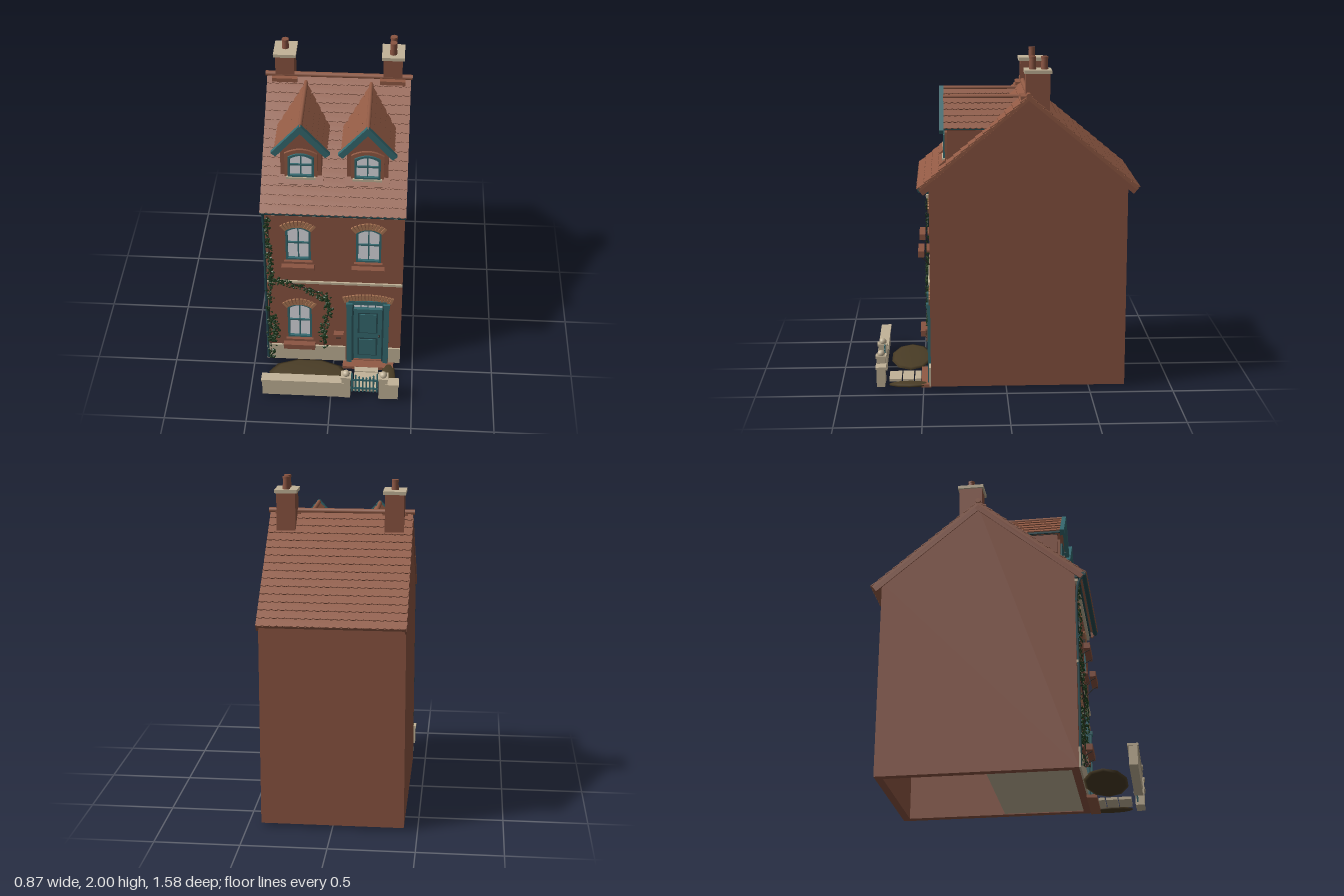
import * as THREE from 'three';
import { mergeGeometries } from 'three/addons/utils/BufferGeometryUtils.js';

const paint = (name, color) => Object.assign(new THREE.MeshStandardMaterial({ color }), { name });
const M = {
  brick: paint('brick red', 0x8a5441), roof: paint('roof tile', 0x915a44), arch: paint('arch brick', 0xa87453),
  stone: paint('cream stone', 0xc2b398), teal: paint('teal paint', 0x356a70), dark: paint('dark teal', 0x264a50),
  glass: paint('pale glass', 0xdcdce2), leaf: paint('ivy green', 0x1f3a1e), soil: paint('soil', 0x4a3d26),
  iron: paint('dark iron', 0x2c2724),
};

function add(parent, name, geo, mat, x = 0, y = 0, z = 0) {
  const m = new THREE.Mesh(geo, mat);
  m.name = name;
  m.position.set(x, y, z);
  parent.add(m);
  return m;
}
// box given by its extents
const block = (p, name, mat, x0, x1, y0, y1, z0, z1) =>
  add(p, name, new THREE.BoxGeometry(x1 - x0, y1 - y0, z1 - z0), mat, (x0 + x1) / 2, (y0 + y1) / 2, (z0 + z1) / 2);
const group = (p, name, x = 0, y = 0, z = 0) => {
  const g = new THREE.Group();
  g.name = name;
  g.position.set(x, y, z);
  p.add(g);
  return g;
};
const extrude = (shape, depth) => new THREE.ExtrudeGeometry(shape, { depth, bevelEnabled: false, curveSegments: 10 });
const poly = pts => new THREE.Shape(pts.map(p => new THREE.Vector2(...p)));
const tube = (pts, r, n = 20) =>
  new THREE.TubeGeometry(new THREE.CatmullRomCurve3(pts.map(p => new THREE.Vector3(...p))), n, r, 6);

// opening with a shallow arched head
function arched(cx, w, y0, y1, rise) {
  const s = new THREE.Shape(), h = w / 2;
  s.moveTo(cx - h, y0).lineTo(cx + h, y0).lineTo(cx + h, y1 - rise);
  s.quadraticCurveTo(cx, y1 + rise, cx - h, y1 - rise).lineTo(cx - h, y0);
  return s;
}

// sash window: back plane at z = 0
function sash(p, cx, y0, y1, z, w) {
  const g = group(p, 'window', cx, 0, z), rise = 0.026, t = 0.013;
  const ring = arched(0, w, y0, y1, rise);
  ring.holes.push(arched(0, w - 2 * t, y0 + t, y1 - t, rise * 0.9));
  add(g, 'windowFrame', extrude(ring, 0.026), M.teal);
  add(g, 'glass', extrude(arched(0, w - 0.004, y0 + 0.002, y1 - 0.002, rise), 0.008), M.glass);
  const mid = (y0 + y1) / 2;
  block(g, 'glazingBar', M.teal, -0.004, 0.004, y0, y1 - 0.004, 0.004, 0.016);
  block(g, 'meetingRail', M.teal, -w / 2, w / 2, mid - 0.005, mid + 0.005, 0.004, 0.018);
}

// fan of bricks over an opening
function brickArch(p, cx, top, half, rise, n, z) {
  const g = group(p, 'brickArch', cx, 0, z);
  const R = (half * half + rise * rise) / (2 * rise), a = Math.asin(half / R), r = R + 0.024;
  for (let i = 0; i < n; i++) {
    const t = -a + (2 * a * (i + 0.5)) / n;
    const b = add(g, 'archBrick', new THREE.BoxGeometry((2 * a * r / n) * 0.8, 0.044, 0.02), M.arch,
      Math.sin(t) * r, top - R + Math.cos(t) * r, 0);
    b.rotation.z = -t;
  }
}

// tiled slope: eave at the origin, facing +z before turning, rising away
function tiledSlope(p, name, pos, turn, lean, width, length, rows, scallops) {
  const outer = group(p, name, ...pos);
  outer.rotation.y = turn;
  const g = group(outer, 'slope');
  g.rotation.x = -lean;
  block(g, 'roofDeck', M.roof, -width / 2, width / 2, 0, length, -0.022, -0.004);
  const pitch = length / rows, s = new THREE.Shape(), step = width / scallops;
  s.moveTo(-width / 2, pitch * 1.02).lineTo(-width / 2, 0);
  for (let i = 0; i < scallops; i++) {
    const x = -width / 2 + i * step;
    s.quadraticCurveTo(x + step / 2, -0.014, x + step, 0);
  }
  s.lineTo(width / 2, pitch * 1.02);
  const geo = new THREE.ExtrudeGeometry(s, { depth: 0.006, bevelEnabled: false, curveSegments: 3 });
  for (let i = 0; i < rows; i++)
    add(g, 'tileRow', geo, M.roof, 0, i * pitch, 0).rotation.x = -0.006 / pitch;
  return g;
}

function dormer(p, cx) {
  const g = group(p, 'dormer', cx);
  add(g, 'dormerWall', extrude(poly([[-0.12, 1.3], [0.12, 1.3], [0.12, 1.6], [0, 1.735], [-0.12, 1.6]]), 0.395), M.brick, 0, 0, -0.05);
  const rim = arched(0, 0.19, 1.38, 1.58, 0.03);
  rim.holes.push(arched(0, 0.15, 1.39, 1.555, 0.026));
  add(g, 'windowSurround', extrude(rim, 0.014), M.roof, 0, 0, 0.345);
  sash(g, 0, 1.392, 1.557, 0.343, 0.152);
  block(g, 'dormerSill', M.stone, -0.085, 0.085, 1.38, 1.394, 0.345, 0.375);
  const apron = add(g, 'apron', new THREE.BoxGeometry(0.26, 0.05, 0.012), M.roof, 0, 1.372, 0.372);
  apron.rotation.x = -0.877;
  for (const s of [-1, 1]) {
    tiledSlope(g, 'dormerRoof', [s * 0.147, 1.583, 0.14], s * Math.PI / 2, Math.atan2(0.147, 0.167), 0.485, 0.222, 5, 14);
    const board = add(g, 'bargeBoard', new THREE.BoxGeometry(0.25, 0.036, 0.026), M.teal, s * 0.074, 1.656, 0.378);
    board.rotation.z = -s * Math.atan2(0.167, 0.147);
    block(g, 'dormerEave', M.dark, s * 0.132 - 0.012, s * 0.132 + 0.012, 1.572, 1.588, 0.1, 0.38);
  }
  const ridge = add(g, 'dormerRidge', new THREE.CylinderGeometry(0.013, 0.013, 0.49, 10), M.roof, 0, 1.748, 0.142);
  ridge.rotation.x = Math.PI / 2;
}

function chimney(p, cx, pots) {
  const g = group(p, 'chimney', cx, 0, -0.185);
  block(g, 'chimneyStack', M.brick, -0.056, 0.056, 1.6, 1.91, -0.07, 0.07);
  block(g, 'chimneyFlashing', M.roof, -0.075, 0.075, 1.695, 1.775, 0.03, 0.1);
  block(g, 'chimneyCap', M.stone, -0.067, 0.067, 1.905, 1.925, -0.08, 0.08);
  for (const [z, top] of pots) {
    add(g, 'chimneyPot', new THREE.CylinderGeometry(0.018, 0.022, top - 1.92, 12), M.brick, 0, (top + 1.92) / 2, z);
    add(g, 'potRim', new THREE.CylinderGeometry(0.021, 0.021, 0.014, 12), M.brick, 0, top - 0.007, z);
  }
}

function ivy(p) {
  const g = group(p, 'ivy');
  let seed = 7;
  const rnd = () => (seed = (seed * 16807) % 2147483647) / 2147483647;
  // stem path, leaf count, spread
  const vines = [
    [[[-0.39, 0.03], [-0.4, 0.35], [-0.38, 0.7], [-0.385, 0.95], [-0.39, 1.17]], 150, 0.024],
    [[[-0.385, 0.68], [-0.3, 0.67], [-0.17, 0.62], [-0.06, 0.57], [-0.03, 0.45], [-0.06, 0.3], [-0.06, 0.15]], 210, 0.03],
    [[[-0.38, 0.16], [-0.36, 0.25], [-0.375, 0.39]], 90, 0.033],
  ];
  const leaves = [];
  for (const [pts, n, spread] of vines) {
    const path = new THREE.CatmullRomCurve3(pts.map(([x, y]) => new THREE.Vector3(x, y, 0.463)));
    add(g, 'ivyStem', new THREE.TubeGeometry(path, 30, 0.004, 5), M.iron);
    for (let i = 0; i < n; i++) {
      const c = path.getPoint(rnd()), r = 0.007 + rnd() * 0.006;
      const leaf = new THREE.OctahedronGeometry(r).scale(1, 1.15, 0.4);
      leaf.rotateX(rnd() - 0.5).rotateY(rnd() - 0.5).rotateZ(rnd() * 3);
      leaf.translate(Math.max(-0.415, c.x + (rnd() + rnd() - 1) * spread), c.y + (rnd() - 0.5) * 0.05, 0.464 + rnd() * 0.024);
      leaves.push(leaf);
    }
  }
  add(g, 'ivyLeaves', mergeGeometries(leaves), M.leaf);
}

export function createModel() {
  const house = new THREE.Group();
  house.name = 'townHouse';

  // walls, hollow and open below
  const windows = [[-0.21, 0.2, 0.48], [-0.21, 0.835, 1.09], [0.21, 0.835, 1.09]];
  const front = poly([[-0.375, 0.02], [0.375, 0.02], [0.375, 1.25], [-0.375, 1.25]]);
  for (const [x, y0, y1] of windows) front.holes.push(arched(x, 0.15, y0, y1, 0.026));
  front.holes.push(arched(0.213, 0.24, 0.024, 0.53, 0.012));
  add(house, 'frontWall', extrude(front, 0.045), M.brick, 0, 0, 0.41);
  block(house, 'backWall', M.brick, -0.375, 0.375, 0.02, 1.25, -0.715, -0.67);
  const gable = extrude(poly([[-0.455, 0.02], [0.715, 0.02], [0.715, 1.26], [0.13, 1.745], [-0.455, 1.26]]), 0.045);
  for (const x of [0.375, -0.42]) add(house, 'sideWall', gable, M.brick, x).rotation.y = Math.PI / 2;
  block(house, 'floor', M.stone, -0.375, 0.375, 0.025, 0.04, -0.06, 0.41);
  block(house, 'partition', M.stone, -0.375, 0.375, 0.025, 1.25, -0.075, -0.06);

  // main roof
  for (const [z, turn] of [[0.52, 0], [-0.78, Math.PI]]) {
    const s = tiledSlope(house, 'mainRoof', [0, 1.24, z], turn, 0.877, 0.85, 0.845, 15, 21);
    for (const x of [-0.42, 0.42]) block(s, 'verge', M.brick, x - 0.006, x + 0.006, 0, 0.83, -0.05, -0.02);
  }
  add(house, 'ridge', new THREE.CylinderGeometry(0.016, 0.016, 0.87, 10), M.roof, 0, 1.782, -0.13).rotation.z = Math.PI / 2;
  dormer(house, -0.193);
  dormer(house, 0.193);
  chimney(house, -0.32, [[-0.005, 1.985]]);
  chimney(house, 0.318, [[-0.04, 2], [0.03, 2]]);

  // bands, gutter and downpipe
  block(house, 'plinthLeft', M.stone, -0.42, 0.075, 0.02, 0.14, 0.455, 0.466);
  block(house, 'plinthRight', M.stone, 0.345, 0.42, 0.02, 0.14, 0.455, 0.466);
  block(house, 'stringCourse', M.stone, -0.42, 0.42, 0.658, 0.674, 0.455, 0.466);
  block(house, 'cornice', M.stone, -0.42, 0.42, 1.185, 1.203, 0.455, 0.472);
  block(house, 'fascia', M.dark, -0.42, 0.42, 1.21, 1.238, 0.455, 0.48);
  add(house, 'gutter', new THREE.CylinderGeometry(0.014, 0.014, 0.85, 10), M.dark, 0, 1.232, 0.508).rotation.z = Math.PI / 2;
  add(house, 'downpipe', tube([[-0.412, 1.23, 0.508], [-0.412, 1.19, 0.48], [-0.412, 1.12, 0.465], [-0.412, 0.6, 0.465], [-0.412, 0.03, 0.465]], 0.008, 40), M.dark);

  // windows with boxes on brackets
  for (const [x, y0, y1] of windows) {
    sash(house, x, y0, y1, 0.428, 0.15);
    brickArch(house, x, y1, 0.077, 0.03, 10, 0.455);
    block(house, 'sill', M.brick, x - 0.085, x + 0.085, y0 - 0.012, y0 + 0.002, 0.44, 0.475);
    block(house, 'windowBox', M.brick, x - 0.098, x + 0.098, y0 - 0.038, y0 - 0.002, 0.488, 0.525);
    for (const s of [-0.07, 0.07])
      add(house, 'bracket', tube([[x + s, y0 - 0.038, 0.52], [x + s, y0 - 0.055, 0.49], [x + s, y0 - 0.09, 0.458]], 0.003, 6), M.iron);
  }

  // door and surround
  const door = group(house, 'door', 0.213, 0, 0.43);
  block(door, 'doorLeaf', M.teal, -0.088, 0.088, 0.025, 0.45, 0, 0.014);
  block(door, 'fanlight', M.glass, -0.09, 0.09, 0.456, 0.503, 0, 0.008);
  for (const x of [-0.045, 0, 0.045]) block(door, 'fanlightBar', M.teal, x - 0.003, x + 0.003, 0.456, 0.503, 0.006, 0.014);
  block(door, 'transom', M.teal, -0.1, 0.1, 0.445, 0.46, 0, 0.03);
  block(door, 'doorHead', M.teal, -0.12, 0.12, 0.5, 0.53, 0, 0.035);
  for (const [w, y0, y1] of [[0.062, 0.25, 0.42], [0.062, 0.06, 0.21]]) {
    block(door, 'panelMoulding', M.dark, -w, w, y0, y1, 0.014, 0.018);
    block(door, 'doorPanel', M.teal, -w + 0.01, w - 0.01, y0 + 0.01, y1 - 0.01, 0.014, 0.024);
  }
  add(door, 'doorKnob', new THREE.SphereGeometry(0.008, 10, 8), M.iron, 0.072, 0.23, 0.022);
  for (const s of [-1, 1]) {
    block(door, 'doorJamb', M.dark, s * 0.099 - 0.011, s * 0.099 + 0.011, 0.024, 0.51, 0, 0.032);
    block(door, 'pilaster', M.teal, s * 0.115 - 0.016, s * 0.115 + 0.016, 0.02, 0.5, 0.02, 0.044);
    block(door, 'capital', M.teal, s * 0.115 - 0.021, s * 0.115 + 0.021, 0.49, 0.515, 0.02, 0.05);
  }
  brickArch(house, 0.213, 0.535, 0.145, 0.025, 16, 0.455);
  block(house, 'doorStep', M.roof, 0.06, 0.38, 0, 0.02, 0.455, 0.515);
  block(house, 'letterBox', M.brick, 0.008, 0.06, 0.19, 0.255, 0.455, 0.485);
  block(house, 'letterBoxLid', M.brick, 0.003, 0.065, 0.255, 0.267, 0.455, 0.492);
  block(house, 'letterSlot', M.iron, 0.018, 0.05, 0.232, 0.238, 0.484, 0.488);
  ivy(house);

  // front garden
  for (const [x, rx] of [[-0.15, 0.25], [0.35, 0.046]])
    add(house, 'flowerBed', new THREE.SphereGeometry(1, 10, 6).scale(rx, 0.013, 0.13), M.soil, x, 0.013, 0.585);
  for (const [z0, z1] of [[0.518, 0.555], [0.563, 0.63], [0.637, 0.712]])
    block(house, 'pathSlab', M.stone, 0.137, 0.285, 0.006, 0.022, z0, z1);
  for (const [x0, x1] of [[-0.42, 0.08], [0.34, 0.415]]) {
    block(house, 'gardenWall', M.stone, x0, x1, 0.02, 0.13, 0.732, 0.782);
    block(house, 'wallCoping', M.stone, x0 - 0.005, x1 + 0.005, 0.13, 0.145, 0.725, 0.788);
  }
  for (const x of [0.095, 0.322]) {
    block(house, 'gatePost', M.stone, x - 0.027, x + 0.027, 0.02, 0.18, 0.73, 0.784);
    block(house, 'postCap', M.stone, x - 0.031, x + 0.031, 0.178, 0.192, 0.726, 0.79);
    add(house, 'postBall', new THREE.SphereGeometry(0.023, 14, 10), M.stone, x, 0.2, 0.757);
  }
  const gate = group(house, 'gate', 0.208, 0, 0.742);
  for (const y of [0.055, 0.125]) block(gate, 'gateRail', M.teal, -0.085, 0.085, y, y + 0.012, -0.004, 0.002);
  for (let i = 0; i < 8; i++) {
    const x = -0.077 + i * 0.022, top = 0.15 + 6 * x * x;
    block(gate, 'gateBar', M.teal, x - 0.005, x + 0.005, 0.035, top, -0.002, 0.005);
    add(gate, 'gateTip', new THREE.ConeGeometry(0.007, 0.014, 6), M.teal, x, top + 0.006, 0.001);
  }
  return house;
}
